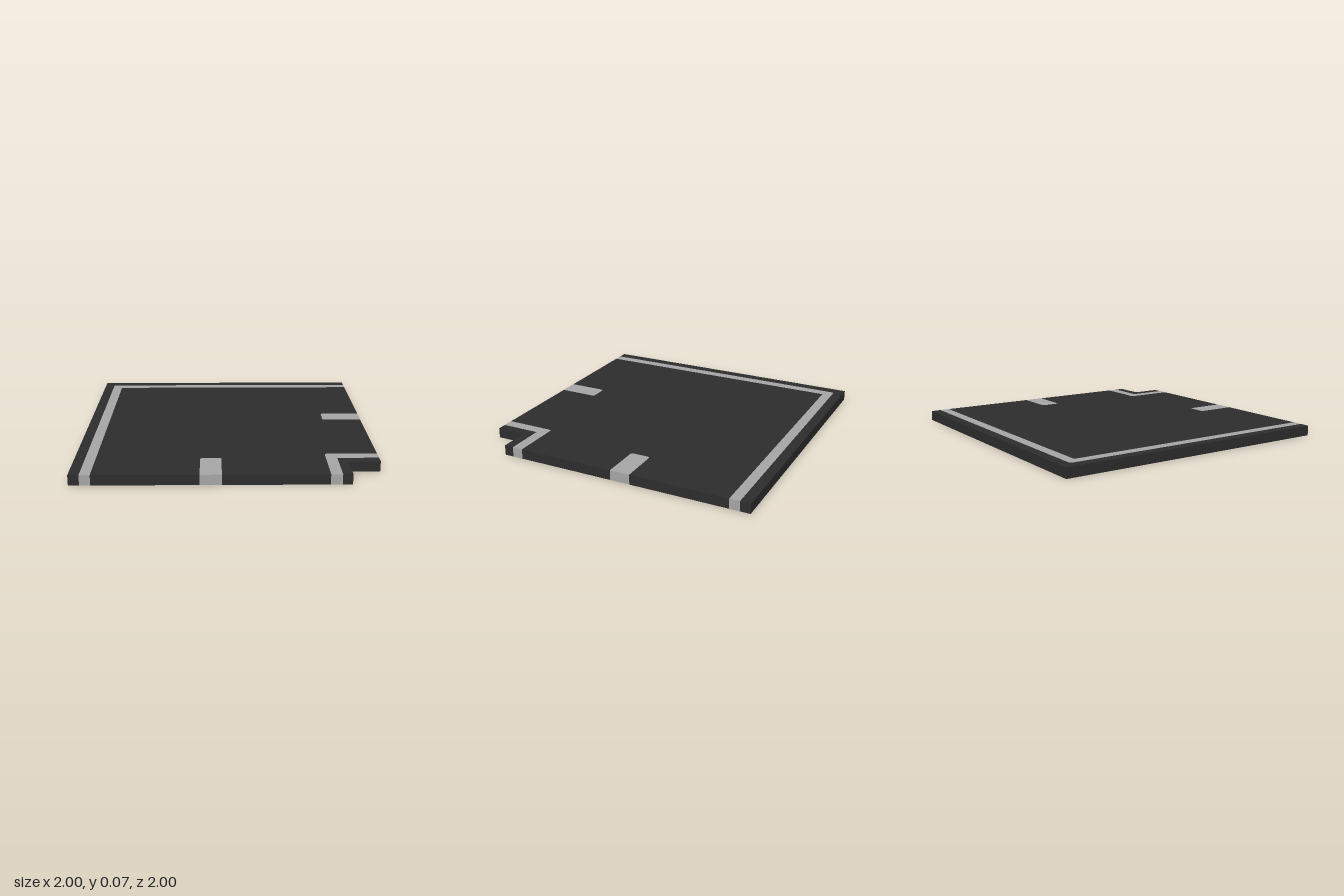
import * as THREE from 'three';

const HEIGHT = 0.07;
const R = 0.02; // small corner rounding

// Outline points are [x, z] or [x, z, radius] for a rounded corner
function slab(points) {
  const pts = points.map(([x, z, r = 0]) => ({ p: new THREE.Vector2(x, -z), r }));
  const toward = (a, b, d) => b.clone().sub(a).setLength(d).add(a);
  const shape = new THREE.Shape();
  pts.forEach(({ p, r }, i) => {
    const prev = pts[(i + pts.length - 1) % pts.length].p;
    const next = pts[(i + 1) % pts.length].p;
    const a = r ? toward(p, prev, r) : p;
    if (i === 0) shape.moveTo(a.x, a.y);
    else shape.lineTo(a.x, a.y);
    if (r) {
      const b = toward(p, next, r);
      shape.quadraticCurveTo(p.x, p.y, b.x, b.y);
    }
  });
  const geo = new THREE.ExtrudeGeometry(shape, { depth: HEIGHT, bevelEnabled: false, curveSegments: 4 });
  return geo.rotateX(-Math.PI / 2);
}

export function createModel() {
  const asphalt = new THREE.MeshStandardMaterial({ color: 0x2d2d2d });
  asphalt.name = 'asphalt';
  const paint = new THREE.MeshStandardMaterial({ color: 0xa6a6a6 });
  paint.name = 'linePaint';

  const model = new THREE.Group();
  model.name = 'roadCorner';
  const add = (name, points, material) => {
    const mesh = new THREE.Mesh(slab(points), material);
    mesh.name = name;
    model.add(mesh);
  };

  // Boundaries running from the +x side round to the +z side
  const outer = [[1, -0.93], [-0.93, -0.93, R], [-0.93, 1]];
  const inner = [[1, -0.86], [-0.86, -0.86], [-0.86, 1]];
  const bendOuter = [[1, 0.65], [0.65, 0.65, R], [0.65, 1]];
  const bendInner = [[1, 0.725], [0.725, 0.725], [0.725, 1]];
  const notch = [[1, 0.79], [0.79, 0.79], [0.79, 1]];

  // Centre dashes, the second mirrored across the diagonal
  const sideDash = [[1, -0.175], [0.72, -0.175, R], [0.72, -0.035, R], [1, -0.035]];
  const frontDash = sideDash.map(([x, z, r]) => [z, x, r]).reverse();

  // Band between two boundaries
  const band = (a, b) => [...a, ...[...b].reverse()];

  add('outerVerge', band([[1, -1], [-1, -1], [-1, 1]], outer), asphalt);
  add('outerEdgeLine', band(outer, inner), paint);
  add('roadSurface', [...sideDash, ...bendOuter, ...frontDash, ...[...inner].reverse()], asphalt);
  add('innerEdgeLine', band(bendOuter, bendInner), paint);
  add('innerVerge', band(bendInner, notch), asphalt);
  add('sideCentreDash', sideDash, paint);
  add('frontCentreDash', frontDash, paint);

  return model;
}
